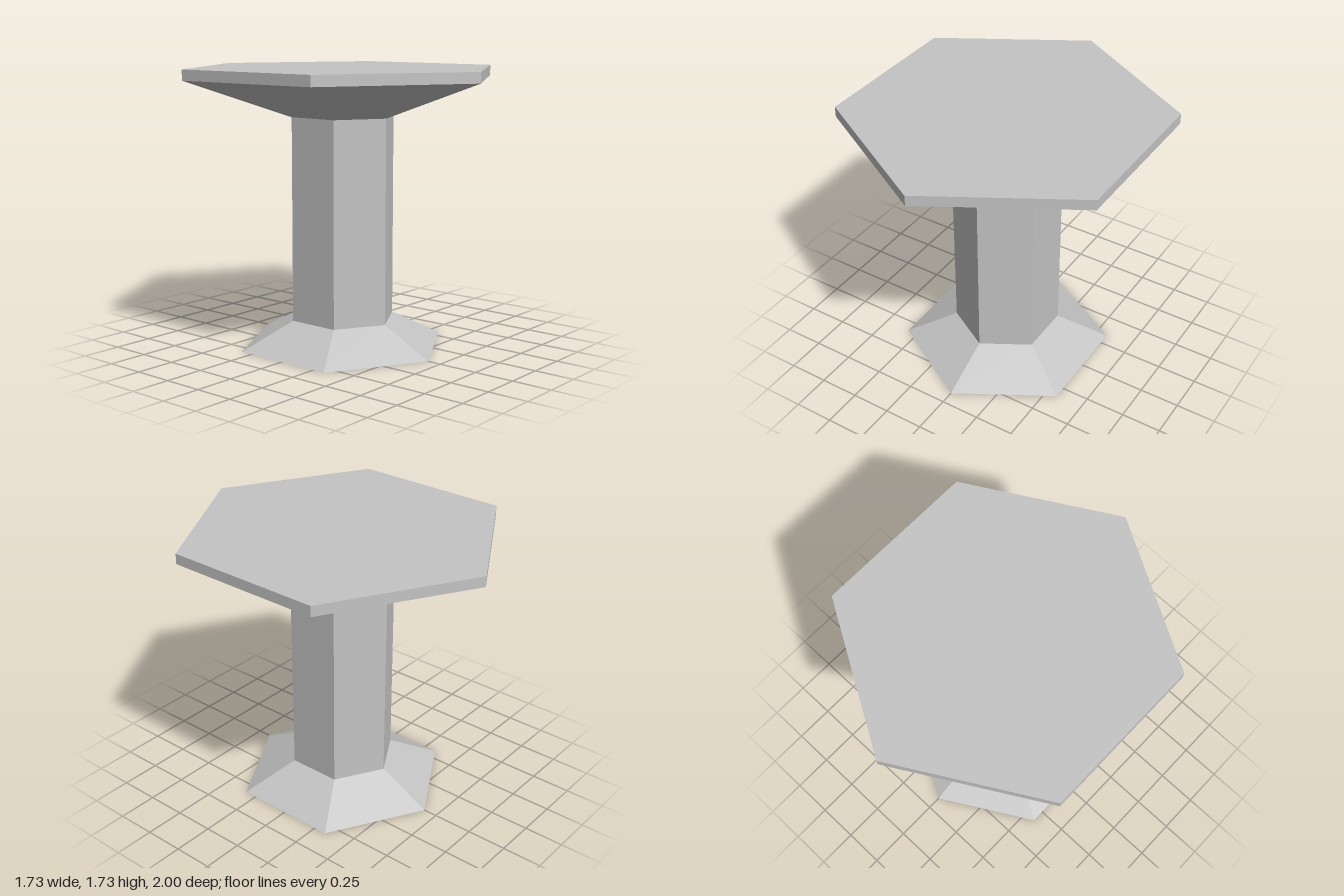
import * as THREE from 'three';

export function createModel() {
  const model = new THREE.Group();
  model.name = 'hexagonalPedestalTable';

  const stone = new THREE.MeshStandardMaterial({ color: 0xc4c4c4, flatShading: true });
  stone.name = 'light grey stone';

  // Six-sided section between two heights, with a corner facing the front
  function hexSection(name, bottomY, topY, bottomRadius, topRadius, open = false) {
    const height = topY - bottomY;
    const geometry = new THREE.CylinderGeometry(topRadius, bottomRadius, height, 6, 1, open);
    const mesh = new THREE.Mesh(geometry, stone);
    mesh.name = name;
    mesh.position.y = bottomY + height / 2;
    model.add(mesh);
  }

  hexSection('foot', 0, 0.167, 0.663, 0.333);
  hexSection('column', 0.167, 1.435, 0.333, 0.333, true);
  hexSection('flaredSupport', 1.435, 1.667, 0.333, 1, true);
  hexSection('tableTop', 1.667, 1.732, 1, 1);

  return model;
}
